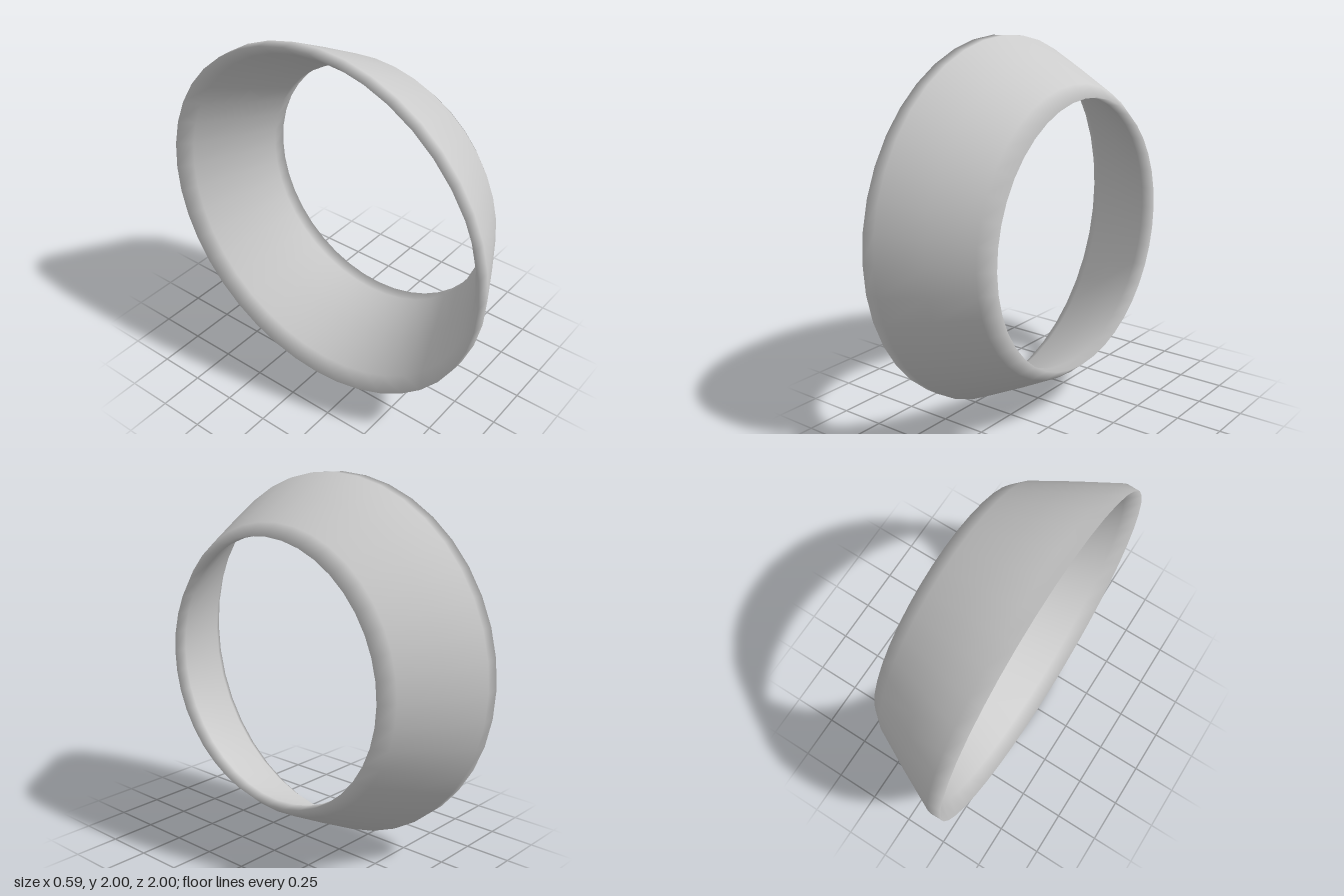
import * as THREE from 'three';

export function createModel() {
  const group = new THREE.Group();
  group.name = 'taperedRing';

  // Closed wall section as [radius, distance along the axis]:
  // outer wall from wide rim to narrow rim, then back along the inner wall.
  const section = [
    [0.825, 0],
    [0.935, -0.22],
    [0.998, -0.295], // wide rim
    [1.0, -0.22],
    [0.893, 0],
    [0.78, 0.22],
    [0.717, 0.295], // narrow rim
    [0.715, 0.22],
    [0.825, 0],
  ].map(([r, a]) => new THREE.Vector2(r, a));

  const ring = new THREE.Mesh(
    new THREE.LatheGeometry(section, 40),
    new THREE.MeshStandardMaterial({ color: 0xcccccc })
  );
  ring.name = 'ringWall';
  ring.rotation.z = -Math.PI / 2; // axis along x, narrow rim towards +x
  ring.position.y = 1;
  group.add(ring);

  return group;
}
